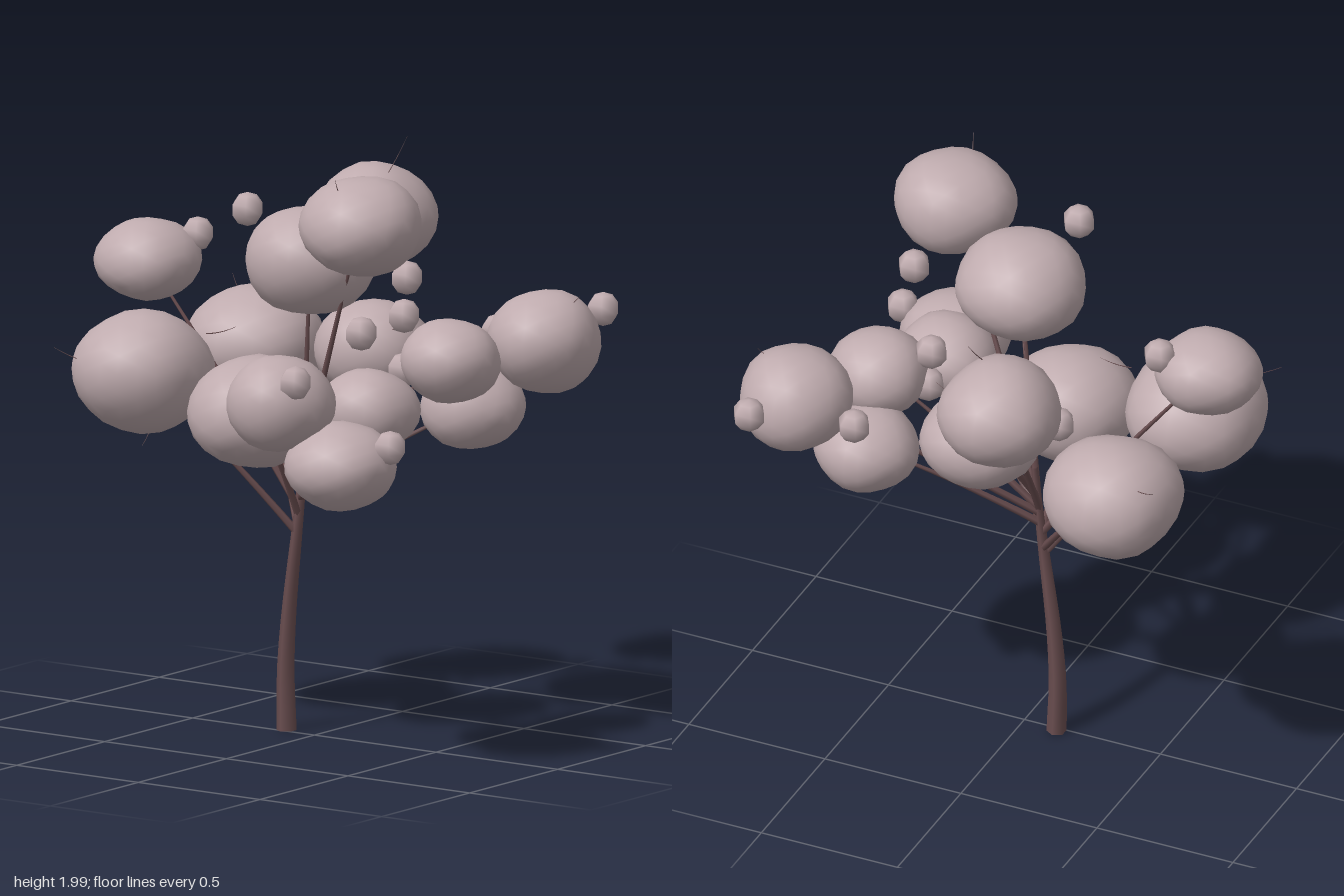
import * as THREE from 'three';
import { mergeVertices } from 'three/addons/utils/BufferGeometryUtils.js';

const foliage = new THREE.MeshStandardMaterial({ color: 0xbfabae });
foliage.name = 'dusty pink foliage';
const bark = new THREE.MeshStandardMaterial({ color: 0x6a4e50 });
bark.name = 'dark brown bark';

// Clumps: x, y, z, horizontal radius, vertical radius, height of the fork on the trunk
const clumps = [
  [-0.20, 1.64, -0.62, 0.21, 0.18, 0.86],
  [-0.48, 1.22, -0.34, 0.235, 0.195, 0.70],
  [0.03, 1.275, -0.29, 0.195, 0.165, 0.90],
  [0.645, 1.345, -0.415, 0.195, 0.17, 0.84],
  [0.45, 1.125, -0.28, 0.18, 0.145, 0.80],
  [0.49, 1.31, -0.10, 0.168, 0.14, 0.86],
  [-0.665, 1.545, 0.03, 0.177, 0.142, 0.76],
  [-0.51, 1.22, 0.27, 0.243, 0.2, 0.68],
  [-0.055, 1.13, 0.245, 0.23, 0.19, 0.74],
  [0.07, 1.64, 0.12, 0.218, 0.182, 0.92],
  [0.37, 1.81, 0.25, 0.207, 0.17, 0.90],
  [0.315, 1.265, 0.63, 0.188, 0.158, 0.82],
  [0.515, 1.06, 0.555, 0.187, 0.15, 0.80],
  [0.40, 1.19, 0.25, 0.17, 0.142, 0.84],
];

// Small leaf buds: x, y, z
const buds = [
  [-0.275, 1.435, -0.32], [-0.53, 1.63, -0.07], [0.40, 1.34, -0.485],
  [0.695, 1.418, -0.68], [0.11, 1.357, -0.115], [0.293, 1.44, -0.105],
  [0.33, 1.27, -0.05], [0.45, 1.62, 0.095], [-0.065, 1.825, 0.29],
  [0.695, 1.14, 0.53], [0.44, 1.36, 0.715],
];

// Hair-thin twigs poking out of the clumps: start and end points
const twigs = [
  [-0.12, 1.78, -0.56, -0.11, 1.91, -0.68],
  [-0.60, 1.33, -0.43, -0.72, 1.40, -0.53],
  [-0.58, 1.26, 0.44, -0.72, 1.31, 0.485],
  [-0.45, 1.05, 0.30, -0.47, 0.98, 0.33],
  [0.35, 1.93, 0.34, 0.375, 1.99, 0.40],
  [0.72, 1.46, -0.40, 0.78, 1.51, -0.43],
  [-0.30, 1.36, 0.20, -0.20, 1.39, 0.17],
  [0.05, 1.32, -0.22, 0.23, 1.39, -0.20],
];

const trunkCurve = new THREE.CatmullRomCurve3([
  [-0.125, 0, -0.015], [-0.128, 0.2, -0.014], [-0.112, 0.4, -0.01],
  [-0.072, 0.68, 0], [-0.058, 0.82, -0.004], [-0.042, 1.02, -0.012],
].map(p => new THREE.Vector3(...p)));

// Point on the trunk at a given height
function trunkAt(y) {
  let lo = 0, hi = 1;
  for (let i = 0; i < 24; i++) {
    const mid = (lo + hi) / 2;
    if (trunkCurve.getPoint(mid).y < y) lo = mid; else hi = mid;
  }
  return trunkCurve.getPoint(lo);
}

// Tube whose radius follows radiusAt(t)
function taperedTube(curve, segments, sides, radiusAt) {
  const geo = new THREE.TubeGeometry(curve, segments, 1, sides);
  const pos = geo.attributes.position;
  const v = new THREE.Vector3();
  for (let i = 0; i < pos.count; i++) {
    const t = Math.floor(i / (sides + 1)) / segments;
    const c = curve.getPointAt(t);
    v.fromBufferAttribute(pos, i).sub(c).multiplyScalar(radiusAt(t)).add(c);
    pos.setXYZ(i, v.x, v.y, v.z);
  }
  return geo;
}

// Slightly lumpy, smooth-shaded ellipsoid
function clumpGeometry(rx, ry, seed) {
  let geo = new THREE.IcosahedronGeometry(1, 3);
  geo.deleteAttribute('uv');
  geo.deleteAttribute('normal');
  geo = mergeVertices(geo, 1e-4);
  const pos = geo.attributes.position;
  const v = new THREE.Vector3();
  for (let i = 0; i < pos.count; i++) {
    v.fromBufferAttribute(pos, i);
    const k = 1 + 0.02 * Math.sin(3 * v.x + seed * 1.7) + 0.02 * Math.sin(3.4 * v.y + 2 * v.z + seed * 2.9)
      + 0.012 * Math.sin(5 * v.z - 4 * v.x + seed);
    pos.setXYZ(i, v.x * rx * k, v.y * ry * k, v.z * rx * k);
  }
  geo.computeVertexNormals();
  return geo;
}

export function createModel() {
  const tree = new THREE.Group();
  tree.name = 'tree';
  const add = (name, geo, mat, position) => {
    const mesh = new THREE.Mesh(geo, mat);
    mesh.name = name;
    if (position) mesh.position.set(...position);
    tree.add(mesh);
  };

  // Trunk with a closed base
  add('trunk', taperedTube(trunkCurve, 14, 6, t => 0.034 - 0.023 * t), bark);
  const base = new THREE.CircleGeometry(0.033, 6).rotateX(Math.PI / 2);
  add('trunkBase', base, bark, [-0.125, 0.001, -0.015]);

  // Each clump gets its own branch from the trunk
  clumps.forEach(([x, y, z, rx, ry, fork], i) => {
    add('leafClump' + (i + 1), clumpGeometry(rx, ry, i + 1), foliage, [x, y, z]);
    const start = trunkAt(fork);
    const end = new THREE.Vector3(x, y, z);
    const bend = start.clone().lerp(end, 0.5);
    bend.y += 0.03;
    const curve = new THREE.QuadraticBezierCurve3(start, bend, end);
    add('branch' + (i + 1), taperedTube(curve, 8, 5, t => 0.014 - 0.01 * t), bark);
  });

  // Leaf buds
  const budGeo = new THREE.SphereGeometry(0.058, 6, 5);
  buds.forEach((p, i) => add('leafBud' + (i + 1), budGeo, foliage, p));

  // Fine twigs
  twigs.forEach(([ax, ay, az, bx, by, bz], i) => {
    const a = new THREE.Vector3(ax, ay, az), b = new THREE.Vector3(bx, by, bz);
    const mid = a.clone().lerp(b, 0.5);
    mid.y -= 0.012;
    const curve = new THREE.QuadraticBezierCurve3(a, mid, b);
    add('twig' + (i + 1), taperedTube(curve, 5, 4, t => 0.0022 - 0.0016 * t), bark);
  });

  return tree;
}
